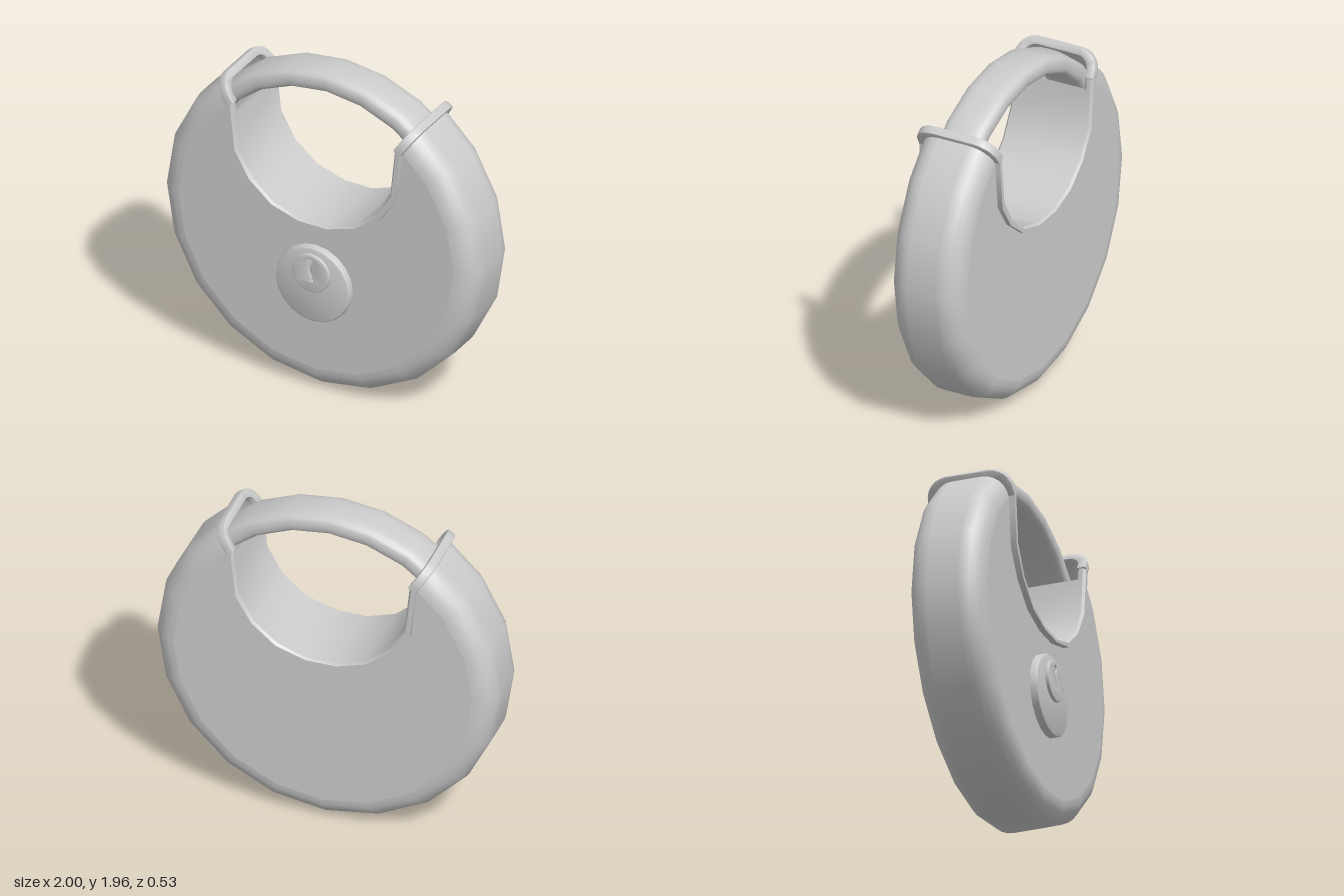
import * as THREE from 'three';
import { toCreasedNormals } from 'three/addons/utils/BufferGeometryUtils.js';

const V2 = (x, y) => new THREE.Vector2(x, y);
const material = new THREE.MeshStandardMaterial({ color: 0xcccccc, side: THREE.DoubleSide });
const BODY_Z = -0.015, HALF = 0.22, ROUND = 0.13; // body mid-plane, half depth, edge radius
const RIM_Z = -0.0125, RIM_HALF = 0.2525;

function add(parent, name, geometry, x = 0, y = 0, z = 0) {
  const mesh = new THREE.Mesh(geometry, material);
  mesh.name = name;
  mesh.position.set(x, y, z);
  parent.add(mesh);
  return mesh;
}

// Sweep a (radius, z) profile about the z axis; angle 0 points down.
function sweep(profile, sides, start = 0, length = Math.PI * 2) {
  return new THREE.LatheGeometry(profile, sides, start, length).rotateX(Math.PI / 2);
}

// Skin a row of closed cross-sections, with end caps.
function loft(sections) {
  const n = sections[0].length, pos = sections.flat(2), index = [];
  for (let i = 0; i < sections.length - 1; i++) {
    for (let j = 0; j < n; j++) {
      const a = i * n + j, b = i * n + (j + 1) % n;
      index.push(a, b, a + n, b, b + n, a + n);
    }
  }
  const last = (sections.length - 1) * n;
  for (let j = 1; j < n - 1; j++) index.push(0, j + 1, j, last, last + j, last + j + 1);
  const g = new THREE.BufferGeometry();
  g.setAttribute('position', new THREE.Float32BufferAttribute(pos, 3));
  g.setIndex(index);
  return toCreasedNormals(g, 0.56);
}

// Right half of the notch: [inner x, inner y, outer x, outer y], top to bottom.
const notch = [
  [0.515, 1.70, 0.55, 1.67],
  [0.507, 1.62, 0.543, 1.60],
  [0.485, 1.41, 0.518, 1.37],
  [0.395, 1.25, 0.42, 1.22],
  [0.26, 1.135, 0.27, 1.10],
  [0.09, 1.078, 0.09, 1.05],
];
const mirrorX = ([a, b, c, d]) => [-a, b, -c, d];

// Strip along the notch between two depths, chamfered on its inner edges.
function rimStrip(stations, z0, z1) {
  const c = 0.014;
  return loft(stations.map(([ix, iy, ox, oy]) => {
    const at = (u, z) => [ix + (ox - ix) * u, iy + (oy - iy) * u, z];
    return [at(0, z0 + c), at(0, z1 - c), at(0.35, z1), at(1, z1), at(1, z0), at(0.35, z0)];
  }));
}

// Arch outline: up one side, rounded over the top, down the other.
function archPoints(half, top, r) {
  const pts = [V2(half, 0)];
  for (const side of [0, 1]) {
    for (let i = 0; i <= 6; i++) {
      const a = (side + i / 6) * Math.PI / 2;
      pts.push(V2((side ? -1 : 1) * (half - r) + r * Math.cos(a), top - r + r * Math.sin(a)));
    }
  }
  pts.push(V2(-half, 0));
  return pts;
}

export function createModel() {
  const model = new THREE.Group();
  model.name = 'discPadlock';

  // Body: rounded outer edge, open at the top, with flat front and back plates
  const body = new THREE.Group();
  body.name = 'body';
  model.add(body);
  const profile = [];
  for (const side of [-1, 1]) {
    for (let i = 0; i <= 6; i++) {
      const a = (side < 0 ? i / 6 - 1 : i / 6) * Math.PI / 2;
      profile.push(V2(1 - ROUND + ROUND * Math.cos(a), side * (HALF - ROUND) + ROUND * Math.sin(a)));
    }
  }
  const span = Math.PI * 0.8;
  add(body, 'outerShell', sweep(profile, 16, -span, span * 2), 0, 1, BODY_Z);

  const outline = [];
  for (let i = 0; i <= 16; i++) {
    const a = -span + i * span / 8;
    outline.push(V2((1 - ROUND) * Math.sin(a), 1 - (1 - ROUND) * Math.cos(a)));
  }
  const mid = ([ix, iy, ox, oy]) => V2((ix + ox) / 2, (iy + oy) / 2);
  outline.push(...notch.map(mid), ...notch.map(mirrorX).reverse().map(mid));
  const plate = new THREE.ShapeGeometry(new THREE.Shape(outline));
  add(body, 'frontPlate', plate, 0, 0, BODY_Z + HALF);
  add(body, 'backPlate', plate, 0, 0, BODY_Z - HALF).rotation.y = Math.PI;

  // Rim: wall lining the notch
  const lower = notch.slice(1);
  add(model, 'notchWall',
    rimStrip([...lower, ...lower.map(mirrorX).reverse()], -RIM_HALF, RIM_HALF), 0, 0, RIM_Z);

  // Rim: arched collar around each shackle opening, with its two side posts
  const arch = new THREE.Shape([
    ...archPoints(RIM_HALF - 0.006, 0.15, 0.12), ...archPoints(0.208, 0.112, 0.085).reverse()]);
  const archGeo = toCreasedNormals(new THREE.ExtrudeGeometry(arch, {
    depth: 0.036, bevelThickness: 0.008, bevelSize: 0.006, bevelSegments: 2 }), 0.6);
  const along = new THREE.Vector3(0.547, 0.837, 0).normalize();
  const inward = new THREE.Vector3(along.y, -along.x, 0);
  archGeo.applyMatrix4(new THREE.Matrix4().makeBasis(new THREE.Vector3(0, 0, -1), along, inward));
  archGeo.translate(0.517, 1.692, 0);
  for (const [name, turn] of [['leftCollar', 0], ['rightCollar', Math.PI]]) {
    const collar = new THREE.Group();
    collar.name = name;
    collar.position.z = RIM_Z;
    collar.rotation.y = turn;
    model.add(collar);
    add(collar, 'collarArch', archGeo);
    add(collar, 'frontPost', rimStrip(notch.slice(0, 2), 0.2, RIM_HALF));
    add(collar, 'backPost', rimStrip(notch.slice(0, 2), -RIM_HALF, -0.2));
  }

  // Shackle: curved bar with a rounded flat section
  const bar = [];
  for (let i = 0; i <= 24; i++) {
    const a = -Math.PI + i * Math.PI / 12;
    const soft = (v) => Math.sign(v) * Math.pow(Math.abs(v), 0.7);
    bar.push(V2(0.895 + 0.065 * soft(Math.cos(a)), 0.13 * soft(Math.sin(a))));
  }
  add(model, 'shackle', sweep(bar, 8, Math.PI * 2 / 3, Math.PI * 2 / 3), 0, 1, -0.015);

  // Lock: round boss with an off-centre plug and a keyhole
  const boss = [V2(0.235, -0.02), V2(0.235, 0.03), V2(0.23, 0.041), V2(0.218, 0.046), V2(0, 0.046)];
  add(model, 'lockBoss', toCreasedNormals(sweep(boss, 20), 0.6), 0, 0.69, 0.205);
  const face = new THREE.Shape().absarc(0, 0, 0.112, 0, Math.PI * 2);
  face.holes.push(new THREE.Path([
    [-0.02, 0.095], [0.02, 0.095], [0.02, 0.066], [0.004, 0.05], [0.004, 0.02], [0.022, -0.02],
    [0.022, -0.055], [-0.003, -0.055], [-0.005, -0.025], [-0.02, 0.015], [-0.02, 0.06],
  ].map(([x, y]) => V2(x, y))));
  const plug = new THREE.ExtrudeGeometry(face, {
    depth: 0.016, bevelThickness: 0.006, bevelSize: 0.006, bevelSegments: 2, curveSegments: 24 });
  add(model, 'keyPlug', toCreasedNormals(plug, 0.6), 0, 0.773, 0.248);

  return model;
}
